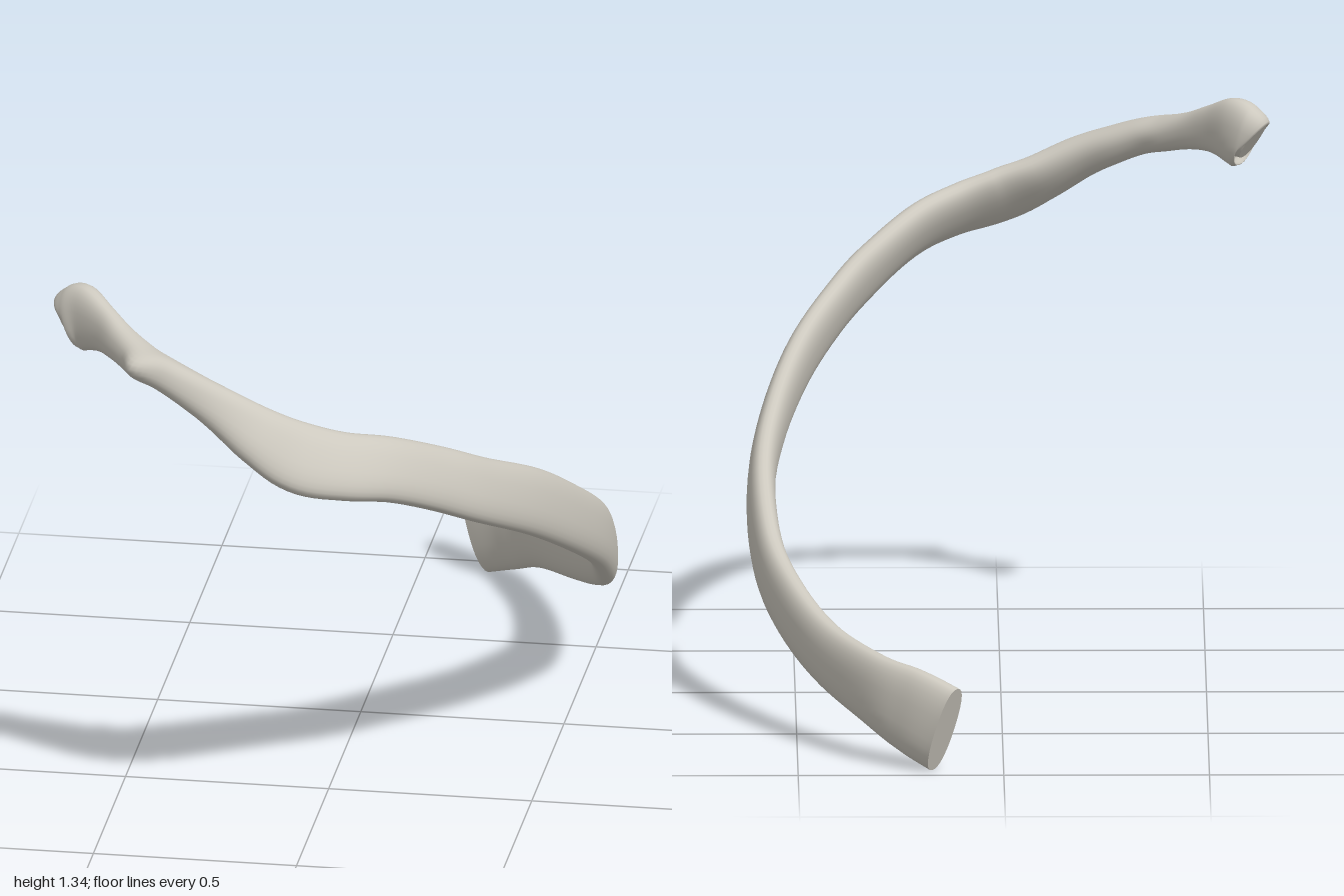
import * as THREE from 'three';

// Stations from head to far end: x, y, z, half height, half thickness, inward lean in degrees
const STATIONS = [
  [-0.617, 1.245, 0.612, 0.052, 0.038, 0],
  [-0.605, 1.254, 0.618, 0.076, 0.046, 0],
  [-0.572, 1.262, 0.642, 0.084, 0.040, 0],
  [-0.52, 1.257, 0.695, 0.060, 0.032, 5],
  [-0.47, 1.243, 0.748, 0.046, 0.036, 10],
  [-0.41, 1.225, 0.805, 0.042, 0.046, 15],
  [-0.35, 1.210, 0.843, 0.042, 0.044, 20],
  [-0.28, 1.183, 0.872, 0.046, 0.042, 25],
  [-0.2, 1.147, 0.900, 0.055, 0.041, 33],
  [-0.1, 1.090, 0.919, 0.074, 0.039, 42],
  [0, 1.045, 0.928, 0.090, 0.038, 40],
  [0.1, 1.018, 0.898, 0.086, 0.038, 36],
  [0.2, 0.985, 0.820, 0.082, 0.038, 30],
  [0.3, 0.923, 0.710, 0.081, 0.037, 24],
  [0.39, 0.850, 0.590, 0.081, 0.036, 18],
  [0.485, 0.750, 0.400, 0.083, 0.035, 12],
  [0.552, 0.630, 0.200, 0.080, 0.034, 8],
  [0.583, 0.510, 0, 0.078, 0.034, 5],
  [0.566, 0.378, -0.2, 0.075, 0.035, 3],
  [0.51, 0.291, -0.4, 0.077, 0.036, 3],
  [0.425, 0.222, -0.6, 0.079, 0.036, 3],
  [0.31, 0.174, -0.8, 0.091, 0.037, 3],
  [0.225, 0.143, -0.89, 0.106, 0.038, 3],
  [0.143, 0.108, -0.954, 0.110, 0.040, 3],
];
const RINGS = 150, SIDES = 28;
const UP = new THREE.Vector3(0, 1, 0);
const KNOB = new THREE.Vector3(-0.41, 1.235, 0.85);

// Superellipse rings swept along the curved path
function buildRings() {
  const path = new THREE.CatmullRomCurve3(
    STATIONS.map(s => new THREE.Vector3(s[0], s[1], s[2])), false, 'catmullrom', 0.5);
  const size = new THREE.CatmullRomCurve3(
    STATIONS.map(s => new THREE.Vector3(s[3], s[4], s[5])), false, 'catmullrom', 0.5);
  const round = v => Math.sign(v) * Math.pow(Math.abs(v), 0.85);
  const rings = [];
  for (let i = 0; i <= RINGS; i++) {
    const t = i / RINGS;
    const center = path.getPoint(t), s = size.getPoint(t);
    const tangent = path.getTangent(t);
    const side = new THREE.Vector3().crossVectors(tangent, UP).normalize();
    const rise = new THREE.Vector3().crossVectors(side, tangent).normalize();
    const lean = THREE.MathUtils.degToRad(s.z);
    const up = rise.clone().multiplyScalar(Math.cos(lean)).addScaledVector(side, -Math.sin(lean));
    const out = side.clone().multiplyScalar(Math.cos(lean)).addScaledVector(rise, Math.sin(lean));
    const ring = [];
    for (let j = 0; j < SIDES; j++) {
      const a = (j / SIDES) * Math.PI * 2;
      const p = center.clone()
        .addScaledVector(up, s.x * round(Math.cos(a)))
        .addScaledVector(out, s.y * round(Math.sin(a)));
      // Small knob on the outer side, just past the neck
      const d = p.distanceTo(KNOB) / 0.035;
      p.addScaledVector(side, 0.032 * Math.exp(-d * d));
      ring.push(p);
    }
    rings.push(ring);
  }
  return rings;
}

function shaftGeometry(rings) {
  const index = [];
  for (let i = 0; i < RINGS; i++) {
    for (let j = 0; j < SIDES; j++) {
      const k = (j + 1) % SIDES;
      const a = i * SIDES + j, b = i * SIDES + k;
      index.push(a, b, a + SIDES, b, b + SIDES, a + SIDES);
    }
  }
  const geometry = new THREE.BufferGeometry().setFromPoints(rings.flat());
  geometry.setIndex(index);
  geometry.computeVertexNormals();
  return geometry;
}

// Fan that closes one end of the shaft
function capGeometry(ring, forward) {
  const center = new THREE.Vector3();
  ring.forEach(p => center.addScaledVector(p, 1 / SIDES));
  const index = [];
  for (let j = 0; j < SIDES; j++) {
    const a = j + 1, b = ((j + 1) % SIDES) + 1;
    index.push(0, forward ? a : b, forward ? b : a);
  }
  const geometry = new THREE.BufferGeometry().setFromPoints([center, ...ring]);
  geometry.setIndex(index);
  geometry.computeVertexNormals();
  return geometry;
}

export function createModel() {
  const bone = new THREE.MeshStandardMaterial({ color: 0xccc8be });
  bone.name = 'bone';
  const group = new THREE.Group();
  group.name = 'ribBone';
  const rings = buildRings();
  const add = (name, geometry) => {
    const mesh = new THREE.Mesh(geometry, bone);
    mesh.name = name;
    group.add(mesh);
  };
  add('shaft', shaftGeometry(rings));
  add('headFace', capGeometry(rings[0], false));
  add('farEndFace', capGeometry(rings[RINGS], true));
  return group;
}
